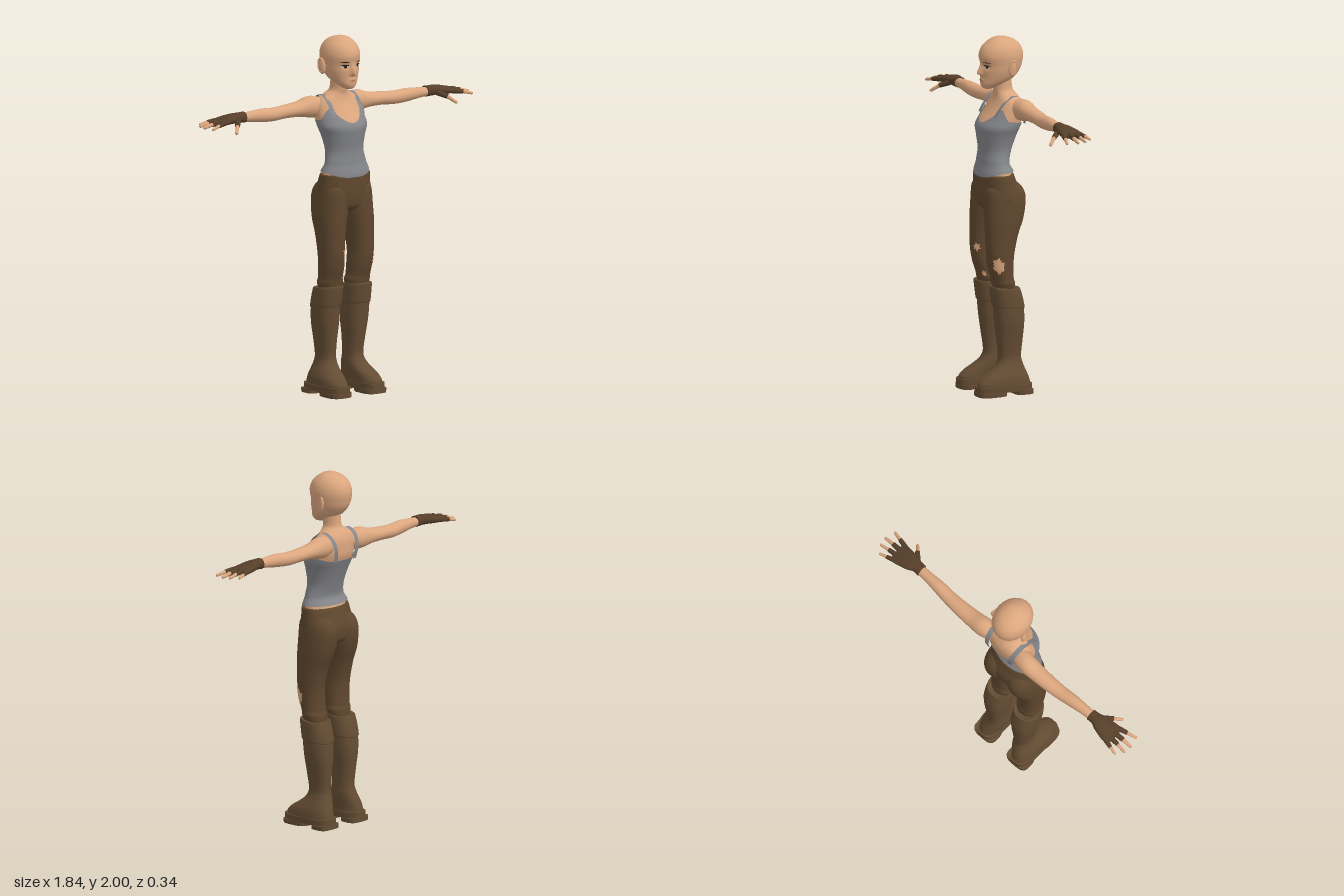
import * as THREE from 'three';

const mat = (name, color, side = THREE.FrontSide) => {
  const m = new THREE.MeshStandardMaterial({ color, side });
  m.name = name;
  return m;
};

const clamp = THREE.MathUtils.clamp, lerp = THREE.MathUtils.lerp, smooth = THREE.MathUtils.smoothstep;
const gauss = (d, s) => Math.exp(-(d * d) / (s * s));

// Smooth spline through the rows of a ring table
function ringAt(rings, s) {
  const f = clamp(s, 0, 1) * (rings.length - 1), i = Math.min(Math.floor(f), rings.length - 2), k = f - i;
  const a = rings[Math.max(i - 1, 0)], b = rings[i], c = rings[i + 1], d = rings[Math.min(i + 2, rings.length - 1)];
  return b.map((v, j) => v + 0.5 * k * (c[j] - a[j] + k * (2 * a[j] - 5 * v + 4 * c[j] - d[j] + k * (3 * (v - c[j]) + d[j] - a[j]))));
}

function build(points, index) {
  const g = new THREE.BufferGeometry();
  g.setAttribute('position', new THREE.Float32BufferAttribute(points.flatMap(p => [p.x, p.y, p.z]), 3));
  g.setIndex(index);
  g.computeVertexNormals();
  return g;
}

// Closed tube of points f(row, angle); rows run along the axis
function skinGrid(f, rows, cols, caps = true) {
  const pts = [], idx = [];
  for (let i = 0; i <= rows; i++)
    for (let j = 0; j < cols; j++) pts.push(f(i / rows, (j / cols) * Math.PI * 2));
  for (let i = 0; i < rows; i++)
    for (let j = 0; j < cols; j++) {
      const a = i * cols + j, b = i * cols + (j + 1) % cols;
      idx.push(a, b, a + cols, b, b + cols, a + cols);
    }
  if (caps) for (const row of [0, rows]) {
    const ring = pts.slice(row * cols, row * cols + cols), start = pts.length;
    const mid = ring.reduce((m, p) => m.add(p), new THREE.Vector3()).divideScalar(cols);
    pts.push(...ring.map(p => p.clone()), mid);
    for (let j = 0; j < cols; j++) {
      const a = start + j, b = start + (j + 1) % cols;
      idx.push(...(row ? [a, b, start + cols] : [b, a, start + cols]));
    }
  }
  return build(pts, idx);
}

// Body form from rings [t, u0, u1, v0, v1]: upright uses (y, x, z), sideways uses (x, z, y)
function form(rings, { sideways = false, p = 2, rows = 40, cols = 40, deform = null } = {}) {
  const pw = v => Math.sign(v) * Math.abs(v) ** (2 / p);
  const point = (s, a) => {
    const [t, u0, u1, v0, v1] = ringAt(rings, s);
    const u = (u0 + u1) / 2 + (u1 - u0) / 2 * pw(Math.sin(a));
    const v = (v0 + v1) / 2 + (v1 - v0) / 2 * pw(Math.cos(a));
    const q = sideways ? new THREE.Vector3(t, v, u) : new THREE.Vector3(u, t, v);
    if (deform) deform(q, a);
    return q;
  };
  // Point on the surface at height t, pushed outwards
  const at = (t, a, out = 0) => {
    let lo = 0, hi = 1;
    for (let i = 0; i < 30; i++) {
      const m = (lo + hi) / 2;
      if (ringAt(rings, m)[0] < t) lo = m; else hi = m;
    }
    const q = point(lo, a);
    q.x += Math.sin(a) * out;
    q.z += Math.cos(a) * out;
    return q;
  };
  return { geo: skinGrid(point, rows, cols), at };
}

// Thin patch following a surface; jag roughens its outline
function patch(map, cu, cv, ru, rv, jag = 0) {
  const n = 28, rings = 5, pts = [map(cu, cv)], idx = [];
  for (let k = 1; k <= rings; k++)
    for (let j = 0; j < n; j++) {
      const th = (j / n) * Math.PI * 2, r = k / rings * (1 + jag * Math.sin(j * 2.4) * Math.cos(j * 1.1));
      pts.push(map(cu + ru * r * Math.cos(th), cv + rv * r * Math.sin(th)));
      const a = 1 + (k - 1) * n + j, b = 1 + (k - 1) * n + (j + 1) % n;
      if (k === 1) idx.push(0, a, b);
      else idx.push(a - n, a, b, a - n, b, b - n);
    }
  return build(pts, idx);
}

// Tapered rod between two points
function rod(a, b, ra, rb) {
  const A = new THREE.Vector3(...a), B = new THREE.Vector3(...b), d = B.clone().sub(A);
  const g = new THREE.CylinderGeometry(rb, ra, d.length(), 12);
  g.applyQuaternion(new THREE.Quaternion().setFromUnitVectors(new THREE.Vector3(0, 1, 0), d.normalize()));
  return g.translate(...A.add(B).multiplyScalar(0.5).toArray());
}

function mirror(geo) {
  const g = geo.clone().scale(-1, 1, 1), ix = g.index.array;
  for (let i = 0; i < ix.length; i += 3) [ix[i], ix[i + 1]] = [ix[i + 1], ix[i]];
  return g;
}

export function createModel() {
  const root = new THREE.Group();
  root.name = 'figure';
  const skin = mat('skin', 0xdba67e), shirt = mat('grey cloth', 0x85868a, THREE.DoubleSide);
  const trouser = mat('brown cloth', 0x5f472e), leather = mat('boot leather', 0x644c33);
  const gloveMat = mat('glove leather', 0x563f2a), dark = mat('dark eye', 0x2e2019);
  const white = mat('eye white', 0xcfc4ba), lip = mat('lip', 0xb9795f);
  const add = (name, geo, m) => {
    const mesh = new THREE.Mesh(geo, m);
    mesh.name = name;
    root.add(mesh);
  };
  const pair = (name, geo, m) => {
    add(name + 'Left', geo, m);
    add(name + 'Right', mirror(geo), m);
  };
  const sym = rows => rows.map(([y, w, z0, z1]) => [y, -w, w, z0, z1]);

  // Head with nose, eye sockets and lips shaped in
  const face = (q, a) => {
    if (Math.cos(a) <= 0) return;
    const nose = smooth(1.872 - q.y, 0, 0.07) * smooth(q.y, 1.784, 1.799);
    q.z += 0.026 * nose * gauss(q.x, 0.013);
    q.z -= 0.007 * gauss(Math.abs(q.x) - 0.04, 0.02) * gauss(q.y - 1.842, 0.014);
    q.z += 0.005 * gauss(q.x, 0.02) * gauss(q.y - 1.763, 0.01);
  };
  const head = form(sym([
    [1.71, 0.012, 0.025, 0.055], [1.718, 0.032, 0.0, 0.073], [1.74, 0.056, -0.05, 0.082], [1.77, 0.078, -0.11, 0.08],
    [1.81, 0.093, -0.145, 0.081], [1.85, 0.1, -0.16, 0.081], [1.9, 0.104, -0.166, 0.088], [1.945, 0.092, -0.15, 0.07],
    [1.978, 0.065, -0.115, 0.033], [1.995, 0.033, -0.07, 0.0], [2.0, 0, -0.035, -0.035],
  ]), { rows: 90, cols: 96, deform: face });
  add('head', head.geo, skin);
  const onFace = out => (x, y) => head.at(y, Math.asin(clamp(x / 0.097, -1, 1)), out);
  pair('eyeWhite', patch(onFace(0.002), 0.041, 1.841, 0.018, 0.008), white);
  pair('iris', patch(onFace(0.0035), 0.04, 1.841, 0.009, 0.008), dark);
  pair('upperLash', patch(onFace(0.004), 0.042, 1.849, 0.021, 0.003), dark);
  pair('eyebrow', patch(onFace(0.003), 0.044, 1.867, 0.022, 0.0025), dark);
  add('mouth', patch(onFace(0.002), 0, 1.763, 0.021, 0.006), lip);
  pair('ear', new THREE.SphereGeometry(1, 20, 14).scale(0.011, 0.046, 0.025).rotateY(-0.25).rotateX(-0.15).translate(0.107, 1.835, -0.062), skin);
  pair('earRim', new THREE.TorusGeometry(1, 0.17, 8, 24).rotateY(Math.PI / 2).scale(0.025, 0.037, 0.019)
    .rotateY(-0.25).rotateX(-0.15).translate(0.113, 1.838, -0.064), skin);

  // Torso and neck
  const body = form(sym([
    [1.18, 0.14, -0.09, 0.085], [1.25, 0.138, -0.078, 0.088], [1.3, 0.124, -0.065, 0.087], [1.37, 0.111, -0.083, 0.083],
    [1.45, 0.126, -0.113, 0.093], [1.5, 0.144, -0.134, 0.096], [1.54, 0.145, -0.148, 0.073], [1.58, 0.145, -0.15, 0.043],
    [1.62, 0.14, -0.148, 0.018], [1.652, 0.118, -0.138, 0.004], [1.677, 0.075, -0.122, 0.0], [1.7, 0.049, -0.106, 0.004],
    [1.75, 0.044, -0.1, 0.01], [1.8, 0.042, -0.1, 0.01],
  ]), { rows: 70, cols: 56 });
  add('torso', body.geo, skin);

  // Sleeveless top with scooped neckline and flared hem
  const neckline = a => a < 0.72 ? 1.525 + 0.08 * (a / 0.72) ** 2
    : a < 1.5 ? 1.605 - 0.065 * smooth(a, 0.72, 1.5) : 1.54 - 0.025 * smooth(a, 1.5, 2.6);
  add('top', skinGrid((r, ang) => {
    const a = ang > Math.PI ? ang - Math.PI * 2 : ang, side = Math.abs(a);
    const hem = 1.222 + 0.03 * smooth(side, 0.2, 1.5);
    const y = lerp(hem, neckline(side), r);
    return body.at(y, a, 0.005 + 0.014 * (1 - smooth(y, 1.22, 1.3)));
  }, 50, 72, false), shirt);
  const strapPath = new THREE.CatmullRomCurve3([
    [0.097, 1.56, 0.045], [0.1, 1.6, 0.021], [0.1, 1.645, -0.018], [0.098, 1.673, -0.07],
    [0.093, 1.65, -0.128], [0.085, 1.59, -0.157], [0.075, 1.51, -0.146],
  ].map(p => new THREE.Vector3(...p)));
  const strap = new THREE.PlaneGeometry(0.028, 1, 2, 30), sp = strap.attributes.position;
  for (let i = 0; i < sp.count; i++) {
    const q = strapPath.getPoint(sp.getY(i) + 0.5);
    sp.setXYZ(i, q.x - sp.getX(i), q.y, q.z);
  }
  strap.computeVertexNormals();
  pair('strap', strap, shirt);

  // Arms
  pair('arm', form([
    [0.07, -0.135, -0.035, 1.56, 1.645], [0.13, -0.153, -0.042, 1.545, 1.663], [0.18, -0.158, -0.05, 1.548, 1.664],
    [0.24, -0.155, -0.055, 1.558, 1.645], [0.33, -0.15, -0.06, 1.56, 1.635], [0.42, -0.14, -0.06, 1.555, 1.63],
    [0.5, -0.13, -0.057, 1.56, 1.635], [0.58, -0.12, -0.06, 1.571, 1.631], [0.66, -0.115, -0.06, 1.58, 1.625],
  ], { sideways: true, rows: 48, cols: 32 }).geo, skin);

  // Fingerless gloves and fingers
  pair('glove', form([
    [0.63, -0.122, -0.055, 1.574, 1.634], [0.665, -0.122, -0.052, 1.576, 1.633], [0.7, -0.138, -0.042, 1.578, 1.631],
    [0.755, -0.152, -0.034, 1.576, 1.622], [0.79, -0.156, -0.031, 1.577, 1.612], [0.812, -0.148, -0.04, 1.583, 1.604],
  ], { sideways: true, p: 2.3, rows: 30, cols: 32 }).geo, gloveMat);
  const fingers = [
    ['littleFinger', [0.785, -0.142, 1.595], [0.875, -0.163, 1.58], 0.009],
    ['ringFinger', [0.79, -0.11, 1.597], [0.905, -0.12, 1.578], 0.01],
    ['middleFinger', [0.79, -0.077, 1.597], [0.912, -0.073, 1.577], 0.011],
    ['indexFinger', [0.785, -0.046, 1.595], [0.897, -0.014, 1.574], 0.01],
    ['thumb', [0.69, -0.058, 1.595], [0.762, 0.022, 1.543], 0.011],
  ];
  for (const [name, [x0, z0, y0], [x1, z1, y1], r] of fingers) {
    const mid = [lerp(x0, x1, 0.55), lerp(y0, y1, 0.4), lerp(z0, z1, 0.55)], tip = [x1, y1, z1];
    pair(name + 'Sleeve', rod([x0, y0, z0], mid, r * 1.5, r * 1.25), gloveMat);
    pair(name, rod(mid, tip, r, r * 0.8), skin);
    pair(name + 'Tip', new THREE.SphereGeometry(r * 0.8, 12, 8).translate(...tip), skin);
  }

  // Trousers: seat and two legs
  add('trouserSeat', form(sym([
    [1.025, 0.06, -0.08, 0.05], [1.05, 0.14, -0.118, 0.085], [1.09, 0.168, -0.128, 0.097], [1.14, 0.166, -0.125, 0.101],
    [1.19, 0.159, -0.105, 0.101], [1.232, 0.154, -0.088, 0.099], [1.236, 0.148, -0.083, 0.093],
  ]), { p: 2.25, cols: 56 }).geo, trouser);
  const leg = form([
    [0.59, 0.03, 0.155, -0.07, 0.05], [0.63, 0.02, 0.168, -0.068, 0.057], [0.655, 0.026, 0.165, -0.062, 0.062],
    [0.72, 0.028, 0.167, -0.06, 0.083], [0.8, 0.033, 0.17, -0.066, 0.095], [0.9, 0.024, 0.173, -0.09, 0.098],
    [0.98, 0.01, 0.176, -0.121, 0.1], [1.05, -0.002, 0.173, -0.138, 0.099], [1.11, 0.0, 0.168, -0.141, 0.097],
    [1.16, 0.008, 0.158, -0.122, 0.09], [1.2, 0.03, 0.13, -0.08, 0.06],
  ], { p: 2.2, rows: 60 });
  pair('trouserLeg', leg.geo, trouser);

  // Torn holes showing skin
  const onLeg = (a, y) => leg.at(y, a, 0.003);
  add('kneeTearLeft', patch(onLeg, 1.05, 0.735, 0.42, 0.042, 0.3), skin);
  add('thighTearRight', mirror(patch(onLeg, -0.65, 0.805, 0.26, 0.02, 0.5)), skin);
  add('shinTearRight', mirror(patch(onLeg, -0.85, 0.655, 0.2, 0.014, 0.5)), skin);

  // Boots: shaft and foot, folded cuff, stepped sole
  pair('boot', form([
    [0.045, 0.049, 0.19, -0.157, 0.16], [0.07, 0.05, 0.188, -0.152, 0.156], [0.1, 0.047, 0.183, -0.143, 0.125],
    [0.13, 0.043, 0.17, -0.132, 0.078], [0.165, 0.043, 0.153, -0.12, 0.037], [0.21, 0.046, 0.143, -0.111, 0.02],
    [0.3, 0.044, 0.152, -0.118, 0.03], [0.4, 0.033, 0.168, -0.125, 0.042], [0.49, 0.03, 0.172, -0.12, 0.05], [0.58, 0.03, 0.165, -0.1, 0.06],
  ], { p: 2.4, rows: 60, cols: 48 }).geo, leather);
  const cuffLean = q => { q.y += (q.z + 0.03) * 0.1; };
  pair('bootCuff', form([
    [0.488, 0.03, 0.173, -0.122, 0.052], [0.495, 0.023, 0.178, -0.127, 0.058], [0.55, 0.022, 0.178, -0.115, 0.066],
    [0.592, 0.022, 0.176, -0.102, 0.071], [0.602, 0.026, 0.17, -0.097, 0.066], [0.596, 0.04, 0.15, -0.08, 0.05],
  ], { p: 2.3, rows: 30, deform: cuffLean }).geo, leather);
  const slab = (y0, y1, z0, z1, p) => form([[y0, 0.048, 0.192, z0, z1], [y1, 0.047, 0.194, z0, z1]], { p, rows: 2, cols: 48 }).geo;
  pair('sole', slab(0.022, 0.055, -0.162, 0.167, 3), leather);
  pair('heel', slab(0, 0.024, -0.162, -0.05, 3.6), leather);
  pair('foreSole', slab(0, 0.024, -0.005, 0.167, 3.2), leather);

  return root;
}
